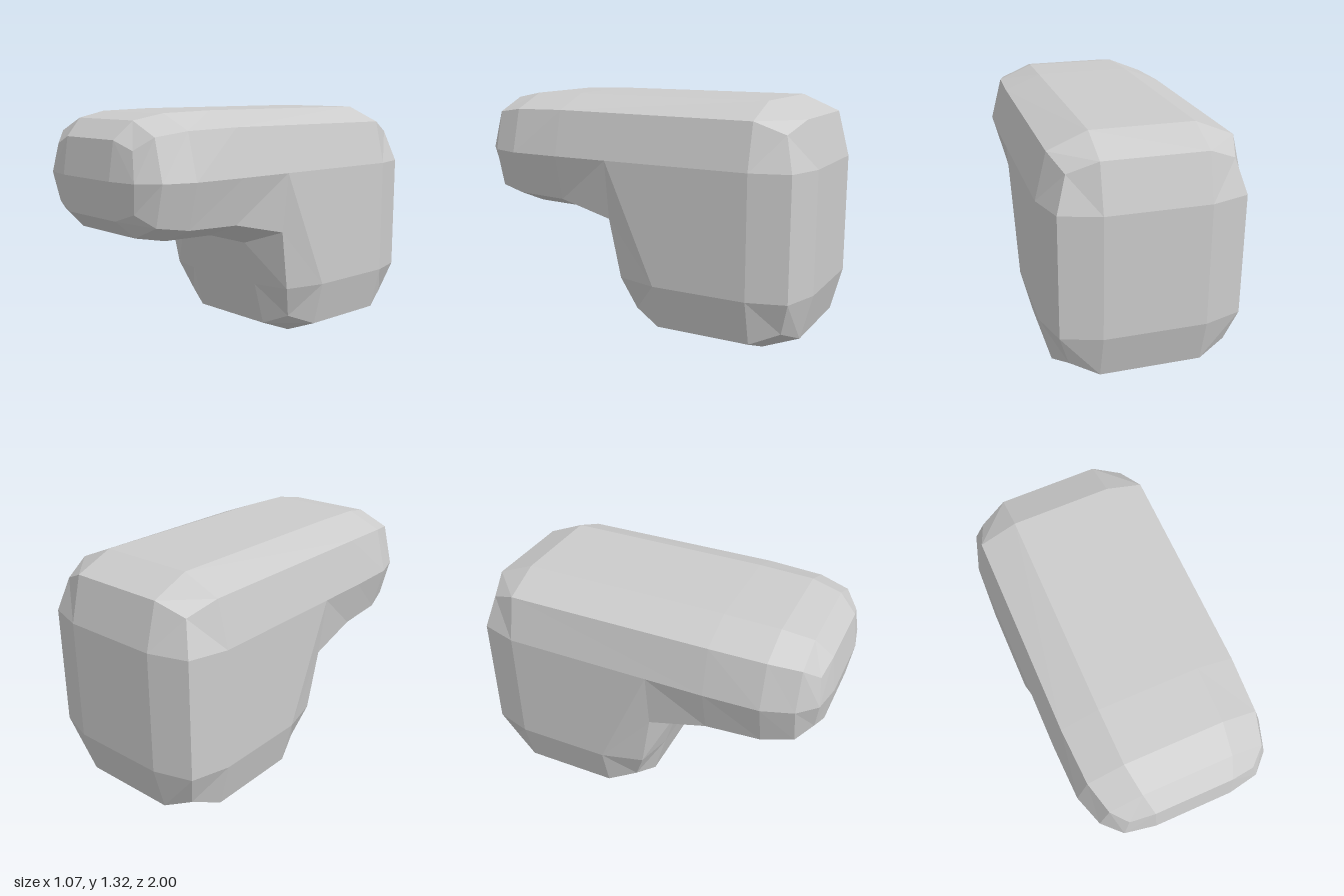
import * as THREE from 'three';

// Each row is one step around the side outline, with three points across the
// half width: a (edge of the centre strip), b (bevel), c (flat side panel).
function outline() {
  const v = (x, y, z) => new THREE.Vector3(x, y, z);
  const mid = 0.985;

  // Snout stations: za, zb, half widths a b c, half heights a b
  const stations = [
    [0.41, 0.41, 0.27, 0.475, 0.535, 0.33, 0.25],
    [0.71, 0.71, 0.265, 0.46, 0.525, 0.322, 0.242],
    [0.875, 0.875, 0.24, 0.415, 0.47, 0.29, 0.217],
    [0.97, 0.95, 0.21, 0.34, 0.375, 0.198, 0.153],
  ];
  const snout = (s) => stations.map(([za, zb, a, b, c, ha, hb]) =>
    [v(a, mid + s * ha, za), v(b, mid + s * hb, zb), v(c, mid, za)]);
  const tip = [v(0.21, mid, 1), v(0.375, mid, 0.97), v(0.375, mid, 0.97)];

  // Front of the body, from the crook under the snout down to the base
  const front = [
    [v(0.27, 0.58, 0.16), v(0.495, 0.66, 0.09), v(0.535, mid, 0.09)],
    [v(0.27, 0.33, 0.08), v(0.475, 0.33, 0.03), v(0.535, 0.33, -0.2)],
    [v(0.27, 0.085, 0.01), v(0.42, 0.15, -0.04), v(0.535, 0.33, -0.2)],
    [v(0.27, 0, -0.2), v(0.475, 0.085, -0.2), v(0.535, 0.33, -0.2)],
  ];

  // Lower back, mirrored in height for the upper back
  const back = () => [
    [v(0.27, 0, -0.73), v(0.475, 0.085, -0.73), v(0.535, 0.33, -0.73)],
    [v(0.27, 0.085, -0.935), v(0.42, 0.15, -0.885), v(0.535, 0.33, -0.73)],
    [v(0.27, 0.33, -1), v(0.475, 0.33, -0.935), v(0.535, 0.33, -0.73)],
  ];
  const upperBack = back().reverse();
  upperBack.flat().forEach((p) => { p.y = 1.315 - p.y; });

  return [...snout(1), tip, ...snout(-1).reverse(), ...front, ...back(), ...upperBack];
}

function bodyGeometry() {
  const rows = outline();
  const positions = [];
  const mirror = (p) => new THREE.Vector3(-p.x, p.y, p.z);
  const tri = (...t) => {
    if (new THREE.Triangle(...t).getArea() > 1e-6) t.forEach((p) => positions.push(p.x, p.y, p.z));
  };
  const quad = (a, b, c, d) => { tri(a, b, c); tri(a, c, d); };
  const bothSides = (a, b, c, d) => {
    quad(a, b, c, d);
    const [ma, mb, mc, md] = [a, b, c, d].map(mirror);
    tri(ma, mc, mb);
    tri(ma, md, mc);
  };

  rows.forEach((row, i) => {
    const next = rows[(i + 1) % rows.length];
    // Centre strip, then bevel and side strips
    quad(mirror(row[0]), mirror(next[0]), next[0], row[0]);
    for (let k = 0; k < 2; k++) bothSides(row[k], next[k], next[k + 1], row[k + 1]);
  });

  // Flat side panels
  const side = (y, z) => new THREE.Vector3(0.535, y, z);
  bothSides(side(0.33, -0.73), side(0.985, -0.73), side(0.985, 0.09), side(0.33, -0.2));

  const geometry = new THREE.BufferGeometry();
  geometry.setAttribute('position', new THREE.Float32BufferAttribute(positions, 3));
  geometry.computeVertexNormals();
  return geometry;
}

export function createModel() {
  const group = new THREE.Group();
  const material = new THREE.MeshStandardMaterial({ color: 0xcccccc, flatShading: true });
  const body = new THREE.Mesh(bodyGeometry(), material);
  body.name = 'bodyWithSnout';
  group.add(body);
  return group;
}
